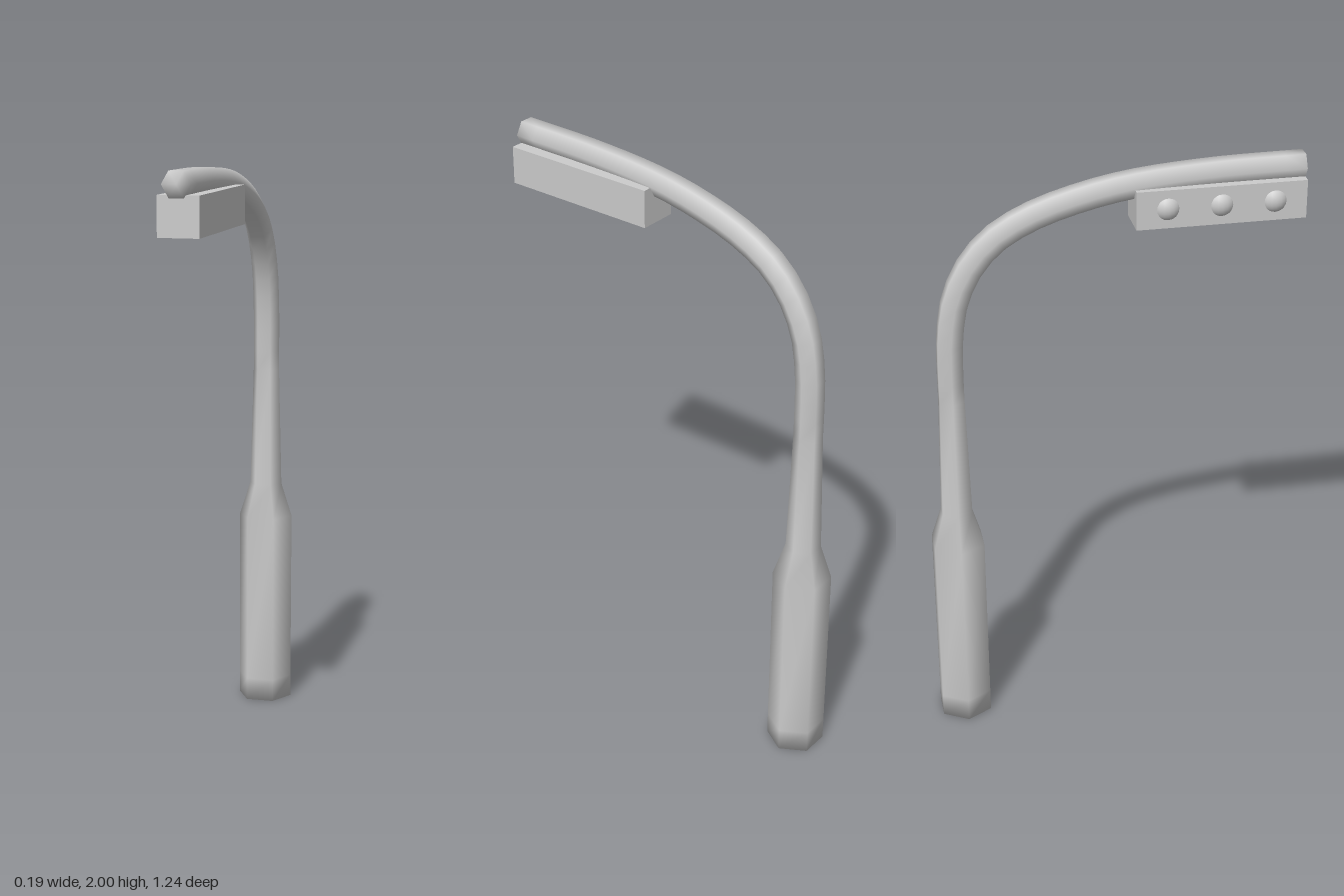
import * as THREE from 'three';

const SIDES = 6;
const POLE_Z = -0.535;

// Hexagonal tube swept through stations { y, z, r, ty, tz } in the YZ plane, closed at both ends
function sweptPole(stations) {
  const pos = [], index = [];
  for (const s of stations) {
    for (let j = 0; j < SIDES; j++) {
      const a = (j / SIDES) * Math.PI * 2;
      const n = s.r * Math.sin(a);
      pos.push(s.r * Math.cos(a), s.y - s.tz * n, s.z + s.ty * n);
    }
  }
  const last = stations.length - 1;
  const bottom = pos.length / 3, top = bottom + 1;
  for (const s of [stations[0], stations[last]]) pos.push(0, s.y, s.z);
  for (let j = 0; j < SIDES; j++) {
    const k = (j + 1) % SIDES;
    for (let i = 0; i < last; i++) {
      const a = i * SIDES + j, b = i * SIDES + k;
      index.push(a, a + SIDES, b, b, a + SIDES, b + SIDES);
    }
    index.push(bottom, j, k, top, last * SIDES + k, last * SIDES + j);
  }
  const g = new THREE.BufferGeometry();
  g.setAttribute('position', new THREE.Float32BufferAttribute(pos, 3));
  g.setIndex(index);
  g.computeVertexNormals();
  return g;
}

export function createModel() {
  const group = new THREE.Group();
  const material = new THREE.MeshStandardMaterial({ color: 0xcccccc });
  const add = (name, geometry, x = 0, y = 0, z = 0) => {
    const mesh = new THREE.Mesh(geometry, material);
    mesh.name = name;
    mesh.position.set(x, y, z);
    group.add(mesh);
  };

  // Upright: wide base, shoulder, then a gentle taper
  const stations = [[0, 0.097], [0.08, 0.097], [0.69, 0.097], [0.81, 0.058]]
    .map(([y, r]) => ({ y, z: POLE_Z, r, ty: 1, tz: 0 }));

  // Bend and overhanging arm
  const bend = new THREE.CatmullRomCurve3([
    [1.23, POLE_Z], [1.36, POLE_Z], [1.47, -0.53], [1.59, -0.508], [1.70, -0.455], [1.785, -0.376],
    [1.85, -0.26], [1.90, -0.106], [1.933, 0.06], [1.954, 0.32], [1.959, 0.62],
  ].map(([y, z]) => new THREE.Vector3(0, y, z)));
  const steps = 24;
  for (let i = 0; i <= steps; i++) {
    const p = bend.getPointAt(i / steps);
    const t = bend.getTangentAt(i / steps);
    if (i === 0) t.set(0, 1, 0);
    if (i === steps) t.set(0, 0, 1);
    stations.push({ y: p.y, z: p.z, r: 0.047, ty: t.y, tz: t.z });
  }
  add('pole', sweptPole(stations));

  // Lamp housing under the arm
  add('lampHousing', new THREE.BoxGeometry(0.132, 0.127, 0.553), 0.005, 1.864, 0.342);

  // Domed lenses on the right side of the housing
  for (const z of [0.167, 0.341, 0.515]) {
    add('lens', new THREE.SphereGeometry(0.05, 20, 14), -0.027, 1.864, z);
  }
  return group;
}
